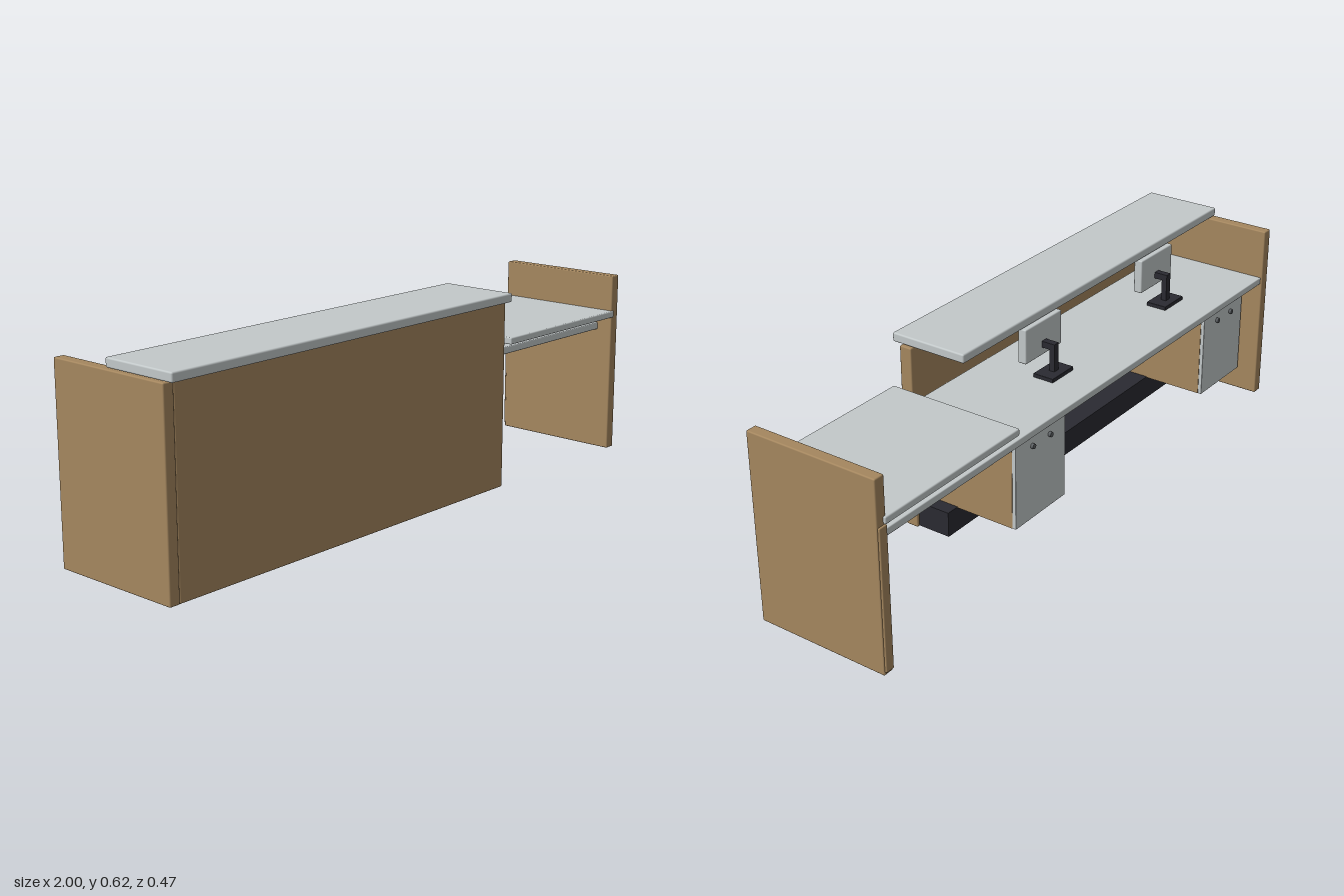
import * as THREE from 'three';
import { RoundedBoxGeometry } from 'three/addons/geometries/RoundedBoxGeometry.js';

const material = (name, color) => {
  const m = new THREE.MeshStandardMaterial({ color });
  m.name = name;
  return m;
};

export function createModel() {
  const wood = material('wood', 0xa5875f);
  const grey = material('light grey', 0xc3c9ca);
  const dark = material('charcoal', 0x2a2a31);
  const metal = material('knob grey', 0x5c6063);

  const model = new THREE.Group();
  model.name = 'receptionDesk';

  // Box from its limits on each axis, with optional eased edges
  function box(parent, name, mat, [x0, x1], [y0, y1], [z0, z1], r = 0) {
    const size = [x1 - x0, y1 - y0, z1 - z0];
    const geo = r ? new RoundedBoxGeometry(...size, 2, r) : new THREE.BoxGeometry(...size);
    const mesh = new THREE.Mesh(geo, mat);
    mesh.name = name;
    mesh.position.set((x0 + x1) / 2, (y0 + y1) / 2, (z0 + z1) / 2);
    parent.add(mesh);
    return mesh;
  }

  function group(name, x) {
    const g = new THREE.Group();
    g.name = name;
    g.position.x = x;
    model.add(g);
    return g;
  }

  // Wooden shell
  box(model, 'rightEndPanel', wood, [-1, -0.965], [0, 0.59], [-0.225, 0.207], 0.004);
  box(model, 'leftEndPanel', wood, [0.964, 1], [0, 0.59], [-0.225, 0.207], 0.004);
  box(model, 'leftLowerPanel', wood, [0.967, 0.997], [0.01, 0.449], [-0.231, 0.2], 0.003);
  box(model, 'frontPanel', wood, [-0.965, 0.385], [0, 0.59], [0.165, 0.206], 0.004);

  // Work surfaces and raised counter
  box(model, 'deskTop', grey, [-0.965, 0.964], [0.405, 0.428], [-0.22, 0.155], 0.003);
  box(model, 'sideTop', grey, [0.411, 0.975], [0.451, 0.473], [-0.233, 0.211], 0.004);
  box(model, 'counterTop', grey, [-0.995, 0.38], [0.593, 0.621], [-0.019, 0.235], 0.005);
  box(model, 'counterSpacer', dark, [-0.96, 0.36], [0.585, 0.595], [0.152, 0.185]);

  // Recessed plinth
  box(model, 'plinth', dark, [-0.965, 0.375], [0.002, 0.083], [0.055, 0.166]);

  // Two cabinets with paired knobs on the working side
  for (const x of [-0.835, 0.207]) {
    const cabinet = group('cabinet', x);
    box(cabinet, 'cabinetBody', wood, [-0.123, 0.123], [0.08, 0.406], [-0.145, 0.166]);
    box(cabinet, 'cabinetDoor', grey, [-0.123, 0.123], [0.08, 0.405], [-0.158, -0.145], 0.002);
    for (const side of [-1, 1]) {
      const knob = new THREE.Mesh(new THREE.CylinderGeometry(0.008, 0.008, 0.012, 16), metal);
      knob.name = 'knob';
      knob.rotation.x = Math.PI / 2;
      knob.position.set(side * 0.043, 0.322, -0.161);
      cabinet.add(knob);
    }
  }

  // Two monitors on small stands
  for (const x of [-0.61, 0.013]) {
    const monitor = group('monitor', x);
    box(monitor, 'screen', grey, [-0.09, 0.09], [0.482, 0.592], [-0.031, -0.002], 0.004);
    box(monitor, 'standBase', dark, [-0.053, 0.053], [0.427, 0.44], [-0.1, -0.03], 0.002);
    box(monitor, 'standPost', dark, [-0.011, 0.011], [0.438, 0.528], [-0.076, -0.058]);
    box(monitor, 'standArm', dark, [-0.011, 0.011], [0.508, 0.528], [-0.06, -0.03]);
  }

  return model;
}
